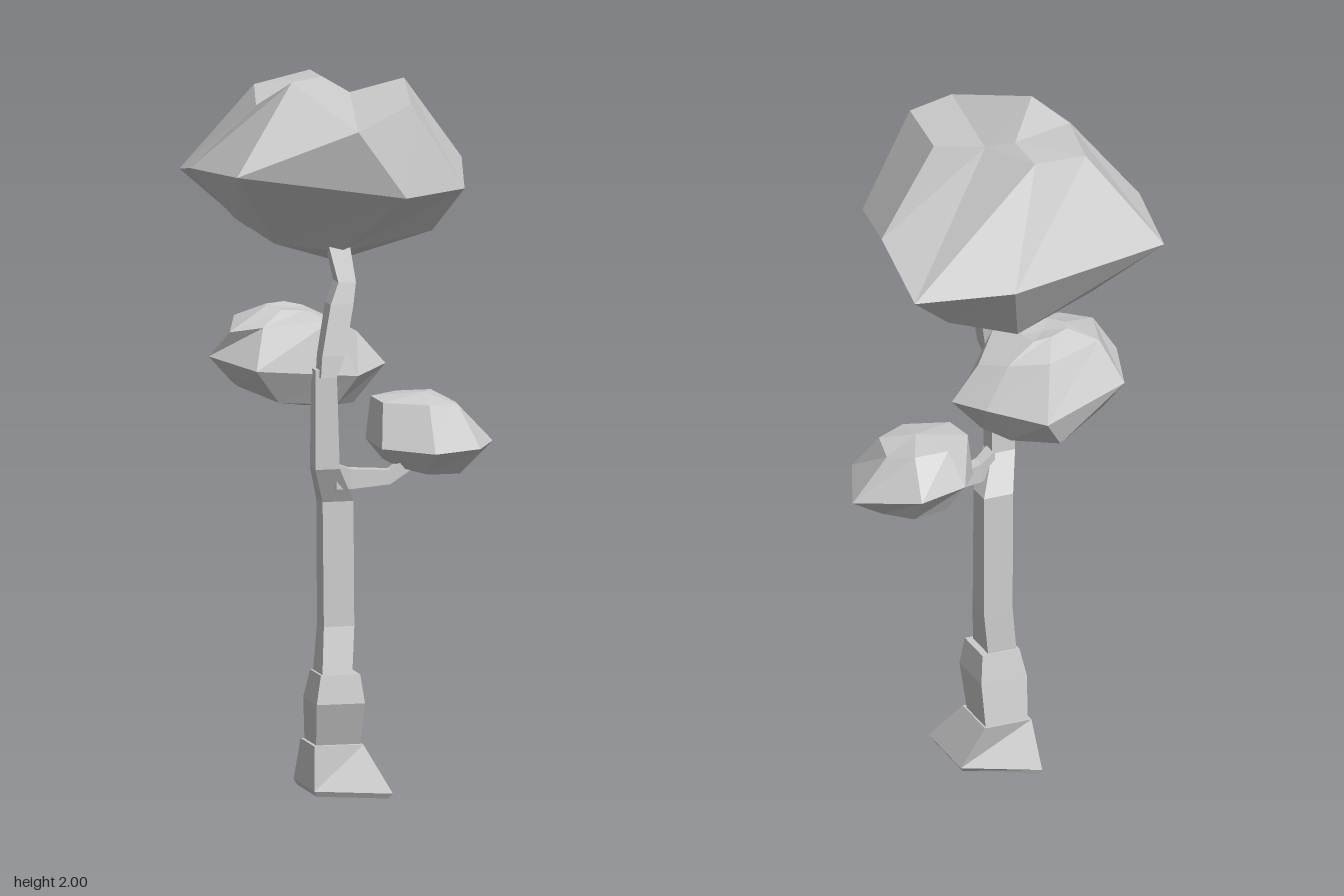
import * as THREE from 'three';

// Skin bottom-to-top cross-sections (each counterclockwise from above); a one-point section closes an end.
function loft(rings) {
  const n = Math.max(...rings.map(r => r.length));
  const pos = [];
  const at = (r, i) => new THREE.Vector3(...r[i % r.length]);
  const tri = (a, b, c) => {
    const area = b.clone().sub(a).cross(c.clone().sub(a)).length();
    if (area > 1e-7) pos.push(...a.toArray(), ...b.toArray(), ...c.toArray());
  };
  for (let k = 0; k < rings.length - 1; k++) {
    const lo = rings[k], up = rings[k + 1];
    for (let i = 0; i < n; i++) {
      tri(at(lo, i), at(lo, i + 1), at(up, i + 1));
      tri(at(lo, i), at(up, i + 1), at(up, i));
    }
  }
  const g = new THREE.BufferGeometry();
  g.setAttribute('position', new THREE.Float32BufferAttribute(pos, 3));
  g.computeVertexNormals();
  return g;
}

// Four-sided horizontal section from its x and z limits
const slab = (y, x0, x1, z0, z1) => [[x0, y, z1], [x1, y, z1], [x1, y, z0], [x0, y, z0]];
// Four-sided section across x, for the side branch
const slice = (x, y, z, h, d) => [[x, y - h, z + d], [x, y - h, z - d], [x, y + h, z - d], [x, y + h, z + d]];
const centre = ring => [ring.reduce((s, p) => s.map((v, i) => v + p[i] / ring.length), [0, 0, 0])];
const capped = rings => loft([centre(rings[0]), ...rings, centre(rings[rings.length - 1])]);

export function createModel() {
  const group = new THREE.Group();
  const grey = new THREE.MeshStandardMaterial({ color: 0xcccccc });
  grey.name = 'pale grey';
  const add = (name, geometry) => {
    const m = new THREE.Mesh(geometry, grey);
    m.name = name;
    group.add(m);
  };

  // Flared, skewed foot
  add('trunkFoot', capped([
    [[-0.125, 0, 0.16], [0.06, 0, 0.24], [0.06, 0, 0.04], [-0.125, 0, -0.06]],
    [[-0.132, 0.015, 0.165], [0.07, 0.015, 0.252], [0.07, 0.015, 0.03], [-0.132, 0.015, -0.07]],
    slab(0.14, -0.13, 0.01, 0.0, 0.155),
  ]));

  // Thick lower stump with its slanted collar
  add('trunkStump', capped([
    slab(0.13, -0.12, 0.005, 0.005, 0.135),
    slab(0.26, -0.13, 0.008, 0.03, 0.182),
    slab(0.34, -0.115, -0.003, 0.048, 0.17),
  ]));

  // Bent main stem
  add('trunkStem', capped([
    slab(0.32, -0.11, -0.025, 0.055, 0.165),
    slab(0.47, -0.097, -0.01, 0.055, 0.132),
    slab(0.82, -0.1, -0.012, 0.058, 0.13),
    slab(0.92, -0.135, -0.065, 0.125, 0.185),
    slab(1.2, -0.135, -0.075, 0.14, 0.19),
  ]));

  // Crooked upper stem
  add('upperStem', capped([
    slab(1.18, -0.125, -0.08, 0.15, 0.21),
    slab(1.24, -0.12, -0.055, 0.145, 0.205),
    slab(1.38, -0.09, -0.025, 0.118, 0.182),
    slab(1.44, -0.065, -0.015, 0.11, 0.17),
    slab(1.54, -0.085, -0.025, 0.095, 0.14),
  ]));

  // Side branch
  add('sideBranch', capped([
    slice(-0.07, 0.895, 0.14, 0.035, 0.025),
    slice(-0.02, 0.882, 0.115, 0.028, 0.02),
    slice(0.1, 0.878, 0.085, 0.02, 0.018),
    slice(0.19, 0.925, 0.05, 0.02, 0.018),
  ]));

  // Large top crown: a ridge on one side, a shallow valley beside it
  const ridge = [-0.05, 1.98, -0.07], valley = [0.01, 1.945, 0];
  add('topCrown', loft([
    [[-0.03, 1.475, 0]],
    [[-0.23, 1.545, 0.1], [-0.05, 1.52, 0.135], [0.22, 1.565, 0.1], [0.24, 1.58, -0.03],
      [0.22, 1.55, -0.23], [0.03, 1.495, -0.27], [-0.23, 1.545, -0.2], [-0.31, 1.6, -0.04]],
    [[-0.4, 1.775, 0.35], [0.08, 1.7, 0.365], [0.28, 1.7, 0.23], [0.34, 1.745, -0.04],
      [0.355, 1.67, -0.305], [0.1, 1.7, -0.415], [-0.4, 1.7, -0.3], [-0.43, 1.74, -0.06]],
    [[-0.19, 2.0, 0.135], [-0.07, 1.9, 0.415], [0.115, 1.95, 0.28], [0.165, 1.98, 0],
      valley, [-0.05, 1.978, -0.21], [-0.22, 1.95, -0.17], [-0.275, 1.93, 0.07]],
    [ridge, valley, valley, valley, valley, ridge, ridge, ridge],
  ]));

  // Middle crown behind the stem
  add('middleCrown', loft([
    [[-0.12, 1.07, -0.02]],
    [[-0.32, 1.14, 0.04], [-0.22, 1.1, 0.11], [-0.05, 1.085, 0.09], [0.02, 1.075, 0],
      [-0.02, 1.08, -0.11], [-0.13, 1.09, -0.2], [-0.3, 1.13, -0.11]],
    [[-0.4, 1.225, 0.03], [-0.3, 1.2, 0.175], [0, 1.17, 0.135], [0.115, 1.18, -0.01],
      [0.05, 1.18, -0.1], [-0.07, 1.18, -0.25], [-0.35, 1.205, -0.14]],
    [[-0.355, 1.3, 0.09], [-0.27, 1.315, 0.13], [-0.07, 1.325, 0.115], [0.03, 1.275, 0],
      [-0.02, 1.3, -0.09], [-0.12, 1.315, -0.15], [-0.3, 1.32, -0.08]],
    [[-0.23, 1.355, 0], [-0.2, 1.35, 0.05], [-0.13, 1.345, 0.04], [-0.1, 1.34, 0],
      [-0.11, 1.345, -0.06], [-0.16, 1.355, -0.07], [-0.22, 1.355, -0.04]],
    [[-0.16, 1.345, -0.01]],
  ]));

  // Small crown on the side branch
  add('smallCrown', loft([
    [[0.24, 0.868, 0.01]],
    [[0.13, 0.9, 0.07], [0.2, 0.885, 0.13], [0.3, 0.88, 0.1], [0.32, 0.87, 0],
      [0.28, 0.905, -0.13], [0.18, 0.91, -0.12], [0.11, 0.91, -0.03]],
    [[0.08, 0.955, 0.09], [0.2, 0.955, 0.22], [0.345, 0.955, 0.155], [0.43, 0.945, -0.045],
      [0.29, 0.99, -0.205], [0.14, 0.99, -0.16], [0.068, 0.965, -0.05]],
    [[0.09, 1.08, 0.06], [0.21, 1.075, 0.11], [0.3, 1.07, 0.07], [0.32, 1.06, -0.03],
      [0.27, 1.085, -0.11], [0.17, 1.085, -0.11], [0.08, 1.085, -0.04]],
    [[0.22, 1.097, 0]],
  ]));

  return group;
}
